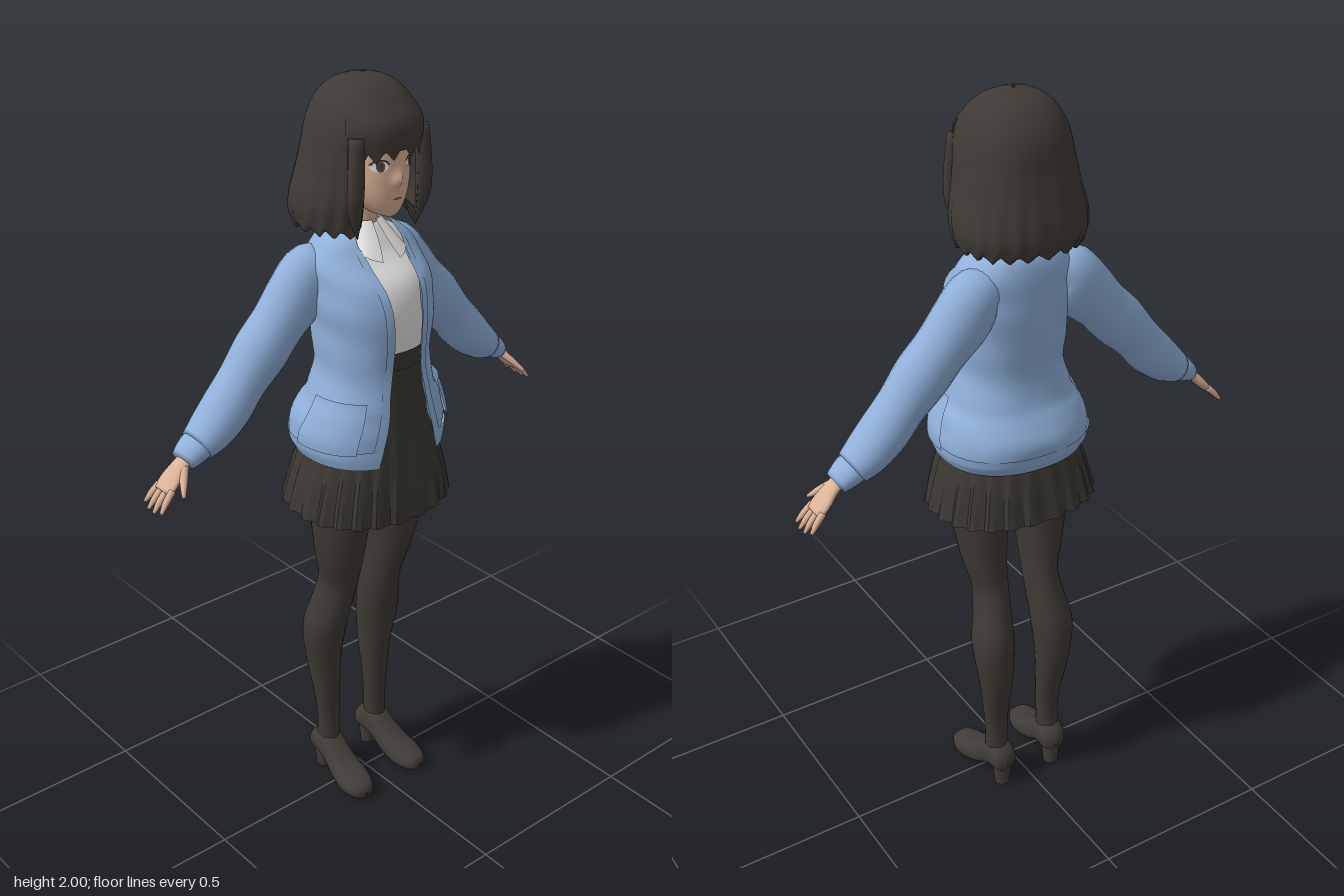
import * as THREE from 'three';
import { mergeVertices, toCreasedNormals } from 'three/addons/utils/BufferGeometryUtils.js';

const mat = (name, color, side = THREE.FrontSide) =>
  Object.assign(new THREE.MeshStandardMaterial({ color, side }), { name });
const BOTH = THREE.DoubleSide;
const M = {
  hair: mat('dark hair', 0x3f3a35, BOTH), skin: mat('skin', 0xdcb398),
  knit: mat('blue knit', 0x8fb0d9, BOTH), shirt: mat('white cotton', 0xe4e4e2, BOTH),
  skirt: mat('charcoal wool', 0x3b3833, BOTH), tights: mat('dark tights', 0x3e3934),
  shoe: mat('dark leather', 0x423d38), iris: mat('iris brown', 0x5a4a48), lip: mat('lip', 0xb5796a),
};

// Catmull-Rom value of table rows at fractional index u
function at(rows, u) {
  const i = Math.min(Math.floor(u), rows.length - 2), t = u - i;
  const g = k => rows[Math.max(0, Math.min(rows.length - 1, k))];
  return rows[i].map((_, c) => {
    const a = g(i - 1)[c], b = g(i)[c], d = g(i + 1)[c], e = g(i + 2)[c];
    return b + 0.5 * t * (d - a + t * (2 * a - 5 * b + 4 * d - e + t * (3 * (b - d) + e - a)));
  });
}
const smooth = (rows, n) => Array.from({ length: n + 1 }, (_, k) => at(rows, k / n * (rows.length - 1)));
// Row of a table at height y
function atY(rows, y) {
  let i = 0;
  while (i < rows.length - 2 && rows[i + 1][0] < y) i++;
  const r = at(rows, i + THREE.MathUtils.clamp((y - rows[i][0]) / (rows[i + 1][0] - rows[i][0]), 0, 1));
  r[0] = y;
  return r;
}

// Surface through a grid of points
function surface(grid) {
  const w = grid[0].length, pos = [], idx = [];
  grid.forEach(r => r.forEach(p => pos.push(p.x, p.y, p.z)));
  for (let i = 0; i < grid.length - 1; i++) for (let j = 0; j < w - 1; j++) {
    const a = i * w + j, c = a + w;
    idx.push(a, a + 1, c + 1, a, c + 1, c);
  }
  let g = new THREE.BufferGeometry();
  g.setAttribute('position', new THREE.Float32BufferAttribute(pos, 3));
  g.setIndex(idx);
  g = mergeVertices(g, 1e-5);
  g.computeVertexNormals();
  return g;
}

// Stack of rounded outlines, bottom to top; row = [y, halfWidth, zFront, zBack, frontOpening]
function loft(rows, { n = 40, steps = 24, t0 = 0, t1 = 1, p = 0.88, mod } = {}) {
  const pw = v => Math.sign(v) * Math.abs(v) ** p;
  const list = steps ? smooth(rows, steps) : rows;
  return surface(list.map(([y, hw, zf, zb, open = 0], i) => {
    const a0 = Math.asin(Math.min(1, Math.max(0, open / hw) ** (1 / p))), mid = (zf + zb) / 2;
    return Array.from({ length: n + 1 }, (_, j) => {
      const t = t0 + (t1 - t0) * j / n, a = a0 + t * (2 * Math.PI - 2 * a0);
      const v = new THREE.Vector3(hw * pw(Math.sin(a)), y, mid + (zf - mid) * pw(Math.cos(a)));
      if (mod) mod(v, t, i / (list.length - 1), mid, j);
      return v;
    });
  }));
}

// Capped tube; point = [x, y, z, radius along z, radius across]
function limb(points, s = 1, n = 18, steps = 20) {
  const list = smooth(points, steps);
  const c = list.map(q => new THREE.Vector3(q[0] * s, q[1], q[2]));
  const grid = list.map((q, i) => {
    const d = c[Math.min(i + 1, steps)].clone().sub(c[Math.max(i - 1, 0)]).normalize();
    const u = new THREE.Vector3(0, 0, 1).addScaledVector(d, -d.z).normalize(), v = d.clone().cross(u);
    return Array.from({ length: n + 1 }, (_, j) => {
      const a = j / n * 2 * Math.PI;
      return c[i].clone().addScaledVector(u, Math.cos(a) * q[3]).addScaledVector(v, Math.sin(a) * q[4]);
    });
  });
  grid.unshift(grid[0].map(() => c[0].clone()));
  grid.push(grid[0].map(() => c[steps].clone()));
  return surface(grid);
}

export function createModel() {
  const model = new THREE.Group();
  model.name = 'figure';
  const add = (name, geo, m, parent = model) => {
    const mesh = new THREE.Mesh(geo, m);
    mesh.name = name;
    parent.add(mesh);
    return mesh;
  };
  const saw = x => Math.abs(2 * (x - Math.floor(x)) - 1);

  // Head with a small nose
  const headRows = [[1.676, .004, .094, .07], [1.688, .034, .106, .02], [1.72, .064, .114, -.04], [1.76, .081, .116, -.07],
    [1.81, .088, .115, -.1], [1.88, .09, .108, -.11], [1.94, .07, .075, -.09], [1.965, .005, .0, -.02]];
  add('head', loft(headRows, { n: 56, steps: 44, mod: v => {
    if (v.z > 0) v.z += .017 * Math.exp(-(v.x ** 2) / .00012 - (v.y - 1.772) ** 2 / .0003);
  } }), M.skin);
  add('neck', limb([[0, 1.54, -.02, .045, .045], [0, 1.63, -.012, .037, .037], [0, 1.73, 0, .04, .04]]), M.skin);

  // Facial details laid onto the face
  const decal = (name, x, y, rx, ry, lift, m, a0 = 0, a1 = 2 * Math.PI, inner = 0) => {
    const g = inner ? new THREE.RingGeometry(inner, 1, 20, 1, a0, a1) : new THREE.CircleGeometry(1, 20);
    g.scale(rx, ry, 1).translate(x, y, 0);
    const q = g.attributes.position;
    for (let i = 0; i < q.count; i++) {
      const [, hw, zf, zb] = atY(headRows, q.getY(i)), mid = (zf + zb) / 2;
      const sn = Math.min(1, Math.abs(q.getX(i)) / hw) ** (1 / .88);
      q.setZ(i, mid + (zf - mid) * Math.sqrt(1 - sn * sn) ** .88 + lift);
    }
    g.computeVertexNormals();
    add(name, g, m);
  };
  for (const s of [1, -1]) {
    decal('eyeWhite', s * .045, 1.808, .019, .013, .002, M.shirt);
    decal('iris', s * .044, 1.808, .0095, .013, .003, M.iris);
    decal('pupil', s * .044, 1.809, .005, .007, .004, M.hair);
    decal('upperLash', s * .045, 1.808, .022, .017, .0045, M.hair, .25, Math.PI - .5, .78);
  }
  decal('mouth', 0, 1.727, .013, .0025, .003, M.lip);

  // Bobbed hair with jagged tips, fringe and side locks
  add('hairBob', loft([[1.7, .1, .07, -.12, .075], [1.645, .148, .095, -.163, .085], [1.675, .162, .1, -.178, .083],
    [1.72, .163, .106, -.175, .082], [1.78, .15, .112, -.162, .082], [1.84, .139, .12, -.15, .078], [1.9, .127, .124, -.14, 0],
    [1.95, .104, .095, -.115, 0], [1.985, .065, .05, -.075, 0], [2, .004, -.005, -.015, 0]],
  { n: 96, steps: 45, mod: (v, t, f, mid) => {
    const k = Math.max(0, 1 - f * 1.6), wave = 1 + .025 * k * Math.cos(t * 34 * Math.PI);
    v.x *= wave;
    v.z = mid + (v.z - mid) * wave;
    if (f > .05 && f < .18) v.y += .022 * (saw(t * 17) - .5);
  } }), M.hair);
  add('fringe', loft([[1.835, .118, .135, -.15], [1.87, .128, .137, -.15], [1.91, .127, .129, -.14], [1.955, .098, .09, -.11]],
    { n: 36, steps: 8, t0: -.17, t1: .17, mod: (v, t, f, mid, j) => {
      if (f === 0) v.y += .028 * saw(j / 6) - .008 - .1 * Math.abs(t);
    } }), M.hair);
  for (const s of [1, -1]) {
    add('sideLock', limb([[.098, 1.88, .085, .02, .02], [.104, 1.78, .092, .019, .022], [.104, 1.71, .088, .016, .02],
      [.09, 1.637, .078, .002, .002]], s, 10, 12), M.hair);
  }

  // Shirt and pointed collar
  const cardigan = [[1.065, .186, .178, -.15, .094], [1.09, .197, .178, -.162, .09], [1.14, .2, .175, -.166, .075],
    [1.19, .183, .17, -.142, .062], [1.23, .163, .165, -.122, .058], [1.3, .146, .158, -.108, .046], [1.38, .148, .163, -.113, .043],
    [1.46, .155, .16, -.12, .046], [1.52, .156, .138, -.121, .054], [1.575, .148, .085, -.118, .062], [1.615, .115, .06, -.108, .066],
    [1.64, .072, .045, -.085, .06]];
  const body = (y0, y1, off, open, k = 12) => Array.from({ length: k + 1 }, (_, i) => {
    const [y, hw, zf, zb, o] = atY(cardigan, y0 + (y1 - y0) * i / k);
    return [y, hw + off, zf + off, zb - off, open ? o : 0];
  });
  add('shirt', loft([...body(1.32, 1.635, -.014, false), [1.645, .035, .025, -.05, 0]]), M.shirt);
  add('collar', loft([[1.6, .074, .078, -.08, .014], [1.628, .06, .056, -.07, .009], [1.655, .044, .032, -.055, .006]],
    { steps: 6, n: 40, mod: (v, t, f) => {
      const tip = Math.max(0, 1 - Math.min(t, 1 - t) / .14);
      v.y -= .03 * (1 - f) * tip;
      v.z += .022 * (1 - f) * tip;
      v.x *= 1 + .9 * (1 - f) * tip;
    } }), M.shirt);

  // Open cardigan, with soft folds, front bands and pockets
  add('cardigan', loft(cardigan, { n: 72, steps: 48, mod: (v, t, f) => {
    v.z += .003 * Math.sin(t * 40 + f * 16) * (1 - f);
    v.x += .002 * Math.sin(f * 45 + t * 9);
  } }), M.knit);
  add('cardiganHem', loft(body(1.066, 1.115, .005, true, 4), { n: 72, steps: 8 }), M.knit);
  for (const left of [true, false]) {
    const patch = (name, y0, y1, off, a, b) => add(name, loft(body(y0, y1, off, true),
      { n: 12, t0: left ? a : 1 - b, t1: left ? b : 1 - a }), M.knit);
    patch('frontBand', 1.07, 1.6, .004, 0, .025);
    patch('pocket', 1.11, 1.24, .011, .07, .23);
  }

  // Pleated skirt and waistband
  const pleat = [0, 1, 1, .25];
  add('pleatedSkirt', toCreasedNormals(loft([[.912, .216, .182, -.176], [1, .196, .174, -.16], [1.08, .172, .164, -.14],
    [1.2, .138, .148, -.108], [1.35, .115, .142, -.09]],
  { n: 96, steps: 12, mod: (v, t, f, mid, j) => {
    const k = 1 + .05 * (1 - f) * pleat[j % 4];
    v.x *= k;
    v.z = mid + (v.z - mid) * k;
    if (f === 0) v.y -= .01 * v.z / .18;
  } }), .5), M.skirt);
  add('waistband', loft([[1.305, .122, .15, -.094], [1.352, .118, .152, -.092]], { steps: 1 }), M.skirt);
  add('hips', loft([[.93, .01, .02, -.02], [.95, .09, .07, -.07], [1.02, .15, .1, -.1], [1.12, .13, .1, -.09], [1.22, .02, .02, -.01]]), M.tights);

  for (const s of [1, -1]) {
    // Sleeve and cuff
    const arm = new THREE.Group();
    arm.name = s > 0 ? 'leftArm' : 'rightArm';
    model.add(arm);
    add('sleeve', limb([[.085, 1.55, -.05, .045, .04], [.13, 1.535, -.053, .062, .07], [.175, 1.478, -.055, .064, .078],
      [.23, 1.42, -.055, .062, .07], [.285, 1.362, -.055, .064, .071], [.34, 1.302, -.056, .06, .062], [.39, 1.245, -.056, .062, .062],
      [.44, 1.2, -.056, .059, .054], [.478, 1.174, -.056, .05, .043]], s, 20, 30), M.knit, arm);
    add('cuff', limb([[.465, 1.182, -.056, .045, .036], [.49, 1.168, -.056, .046, .036], [.522, 1.146, -.055, .037, .027]], s, 18, 6), M.knit, arm);
    // Hand with spread fingers
    add('palm', limb([[.505, 1.158, -.055, .022, .015], [.535, 1.134, -.055, .026, .014], [.56, 1.108, -.056, .034, .013],
      [.583, 1.084, -.056, .034, .011]], s, 14, 10), M.skin, arm);
    for (let i = 0; i < 4; i++) {
      const z = -.083 + i * .018, e = z + (i - 1.5) * .007, l = [.82, .97, 1, .9][i];
      add('finger', limb([[.574, 1.093, z, .009, .009], [.574 + .026 * l, 1.093 - .026 * l, (z + e) / 2, .0085, .008],
        [.574 + .046 * l, 1.093 - .05 * l, e, .004, .004]], s, 8, 6), M.skin, arm);
    }
    add('thumb', limb([[.528, 1.138, -.042, .012, .011], [.55, 1.112, -.014, .01, .009], [.568, 1.088, .011, .004, .005]], s, 8, 8), M.skin, arm);

    // Leg
    add(s > 0 ? 'leftLeg' : 'rightLeg', limb([[.086, 1.06, .002, .09, .074], [.092, .9, .008, .092, .073], [.088, .76, -.003, .076, .06],
      [.079, .66, -.02, .063, .046], [.084, .58, -.04, .061, .049], [.095, .49, -.062, .062, .057], [.092, .38, -.07, .051, .047],
      [.087, .26, -.062, .034, .037], [.085, .17, -.06, .03, .032], [.087, .09, -.062, .036, .031]], s, 24, 40), M.tights);

    // Shoe: outlines run from toe to heel, then laid flat
    const shoe = new THREE.Group();
    shoe.name = s > 0 ? 'leftShoe' : 'rightShoe';
    shoe.position.x = s * .09;
    shoe.rotation.y = s * .08;
    model.add(shoe);
    add('upper', loft([[-.126, .003, .026, .02], [-.115, .03, .046, .004], [-.07, .047, .058, .003], [-.03, .045, .076, .006],
      [.01, .04, .105, .02], [.045, .038, .135, .042], [.08, .038, .138, .052], [.108, .033, .118, .056], [.12, .004, .09, .075]],
    { n: 24, p: .8 }).rotateX(-Math.PI / 2), M.shoe, shoe);
    add('heel', new THREE.CylinderGeometry(.028, .021, .075, 16), M.shoe, shoe).position.set(0, .0375, -.087);
  }
  return model;
}
